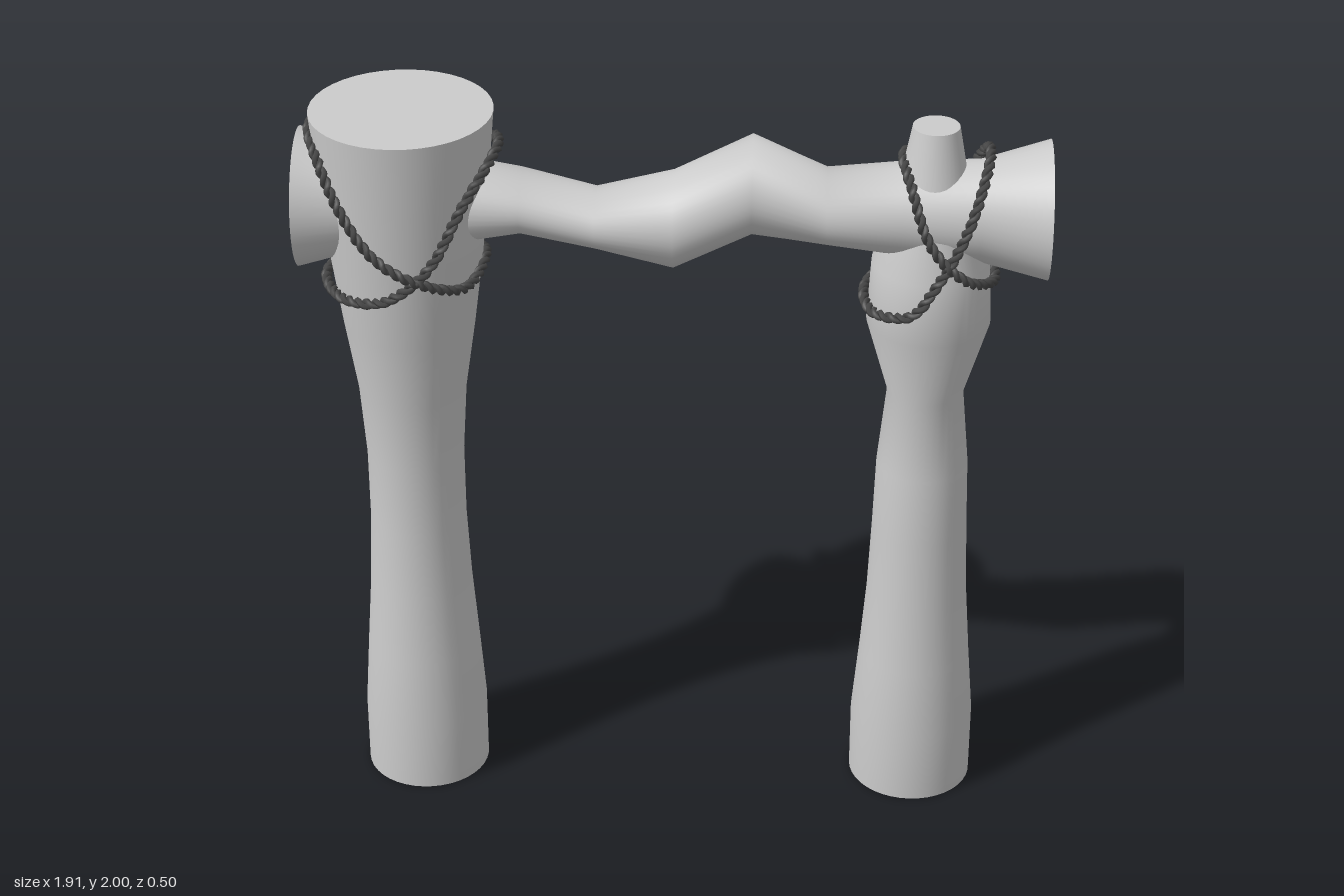
import * as THREE from 'three';
import { mergeVertices } from 'three/addons/utils/BufferGeometryUtils.js';

const wood = new THREE.MeshStandardMaterial({ color: 0xcccccc });
const hemp = new THREE.MeshStandardMaterial({ color: 0x484848 });

// Capped log along +y; each row is [height, centre shift in x, radius in x, radius in z]
function logGeometry(rows) {
  const n = rows.length - 1;
  let geo = new THREE.CylinderGeometry(1, 1, 1, 40, n);
  geo.deleteAttribute('uv');
  geo = mergeVertices(geo);
  const p = geo.attributes.position;
  for (let i = 0; i < p.count; i++) {
    const [h, shift, rx, rz] = rows[Math.round((p.getY(i) + 0.5) * n)];
    p.setXYZ(i, p.getX(i) * rx + shift, h, p.getZ(i) * rz);
  }
  geo.computeVertexNormals();
  return geo;
}

function post(name, x, profile) {
  const mesh = new THREE.Mesh(logGeometry(profile.map(([y, r]) => [y, 0, r, r])), wood);
  mesh.name = name;
  mesh.position.x = x;
  return mesh;
}

// Two-strand twisted rope; front points run from left to right and are mirrored behind
function ropeLoop(name, x, front) {
  const back = front.slice(1, -1).reverse().map(([a, y, z]) => [a, y, -z]);
  const path = new THREE.CatmullRomCurve3(
    [...front, ...back].map(p => new THREE.Vector3(...p)), true, 'centripetal');
  const steps = 400;
  const turns = Math.round(path.getLength() / 0.055);
  const { normals, binormals } = path.computeFrenetFrames(steps, true);
  const group = new THREE.Group();
  group.name = name;
  group.position.x = x;
  for (const phase of [0, Math.PI]) {
    const pts = [];
    for (let i = 0; i < steps; i++) {
      const a = phase + (i / steps) * turns * Math.PI * 2;
      pts.push(path.getPointAt(i / steps)
        .addScaledVector(normals[i], Math.cos(a) * 0.007)
        .addScaledVector(binormals[i], Math.sin(a) * 0.007));
    }
    const strand = new THREE.Mesh(
      new THREE.TubeGeometry(new THREE.CatmullRomCurve3(pts, true), steps, 0.008, 5, true), hemp);
    strand.name = 'ropeStrand';
    group.add(strand);
  }
  return group;
}

export function createModel() {
  const model = new THREE.Group();
  model.name = 'logGate';
  const leftX = 0.66, rightX = -0.69;

  // Thick post, flaring toward the top
  model.add(post('rightPost', rightX, [
    [0, 0.167], [0.2, 0.167], [0.4, 0.153], [0.6, 0.138], [0.8, 0.129], [1, 0.129],
    [1.2, 0.142], [1.4, 0.172], [1.6, 0.198], [1.8, 0.217], [2, 0.235]]));

  // Post with a narrow neck, a bulge and a tapered tip
  model.add(post('leftPost', leftX, [
    [0, 0.167], [0.2, 0.167], [0.4, 0.15], [0.6, 0.135], [0.8, 0.127], [1, 0.121],
    [1.22, 0.1], [1.43, 0.161], [1.6, 0.152], [1.79, 0.095], [1.98, 0.06]]));

  // Crooked crossbeam with flared ends: [x, centre y, radius in y, radius in z]
  const beam = new THREE.Mesh(logGeometry([
    [-0.96, 1.75, 0.18, 0.18], [-0.78, 1.75, 0.13, 0.13], [-0.58, 1.75, 0.115, 0.125],
    [-0.39, 1.75, 0.077, 0.112], [-0.2, 1.705, 0.071, 0.11], [0, 1.705, 0.126, 0.127],
    [0.2, 1.808, 0.128, 0.128], [0.39, 1.75, 0.091, 0.128], [0.58, 1.747, 0.118, 0.128],
    [0.78, 1.745, 0.134, 0.12], [0.955, 1.75, 0.18, 0.18],
  ].map(([x, y, ry, rz]) => [x, -y, ry, rz])), wood);
  beam.geometry.rotateZ(-Math.PI / 2);
  beam.name = 'crossbeam';
  model.add(beam);

  // Lashings: a pair of crossing loops on each post
  model.add(ropeLoop('rightRopeFalling', rightX, [
    [-0.235, 1.95, 0], [-0.2, 1.92, 0.13], [-0.14, 1.8, 0.19], [-0.06, 1.69, 0.22],
    [0.04, 1.63, 0.233], [0.16, 1.565, 0.14], [0.205, 1.59, 0]]));
  model.add(ropeLoop('rightRopeRising', rightX, [
    [-0.21, 1.53, 0], [-0.15, 1.535, 0.15], [-0.05, 1.555, 0.21], [0.03, 1.61, 0.23],
    [0.09, 1.67, 0.21], [0.16, 1.8, 0.17], [0.225, 1.89, 0.085], [0.245, 1.91, 0]]));
  model.add(ropeLoop('leftRopeFalling', leftX, [
    [-0.08, 1.89, 0], [-0.06, 1.855, 0.1], [-0.015, 1.73, 0.15], [0.04, 1.66, 0.165],
    [0.1, 1.61, 0.145], [0.16, 1.575, 0.06], [0.165, 1.575, 0]]));
  model.add(ropeLoop('leftRopeRising', leftX, [
    [-0.17, 1.5, 0], [-0.14, 1.5, 0.11], [-0.05, 1.525, 0.168], [0.01, 1.61, 0.168],
    [0.06, 1.7, 0.155], [0.1, 1.8, 0.135], [0.135, 1.9, 0.05], [0.14, 1.91, 0]]));

  model.position.z = -0.005;
  return model;
}
